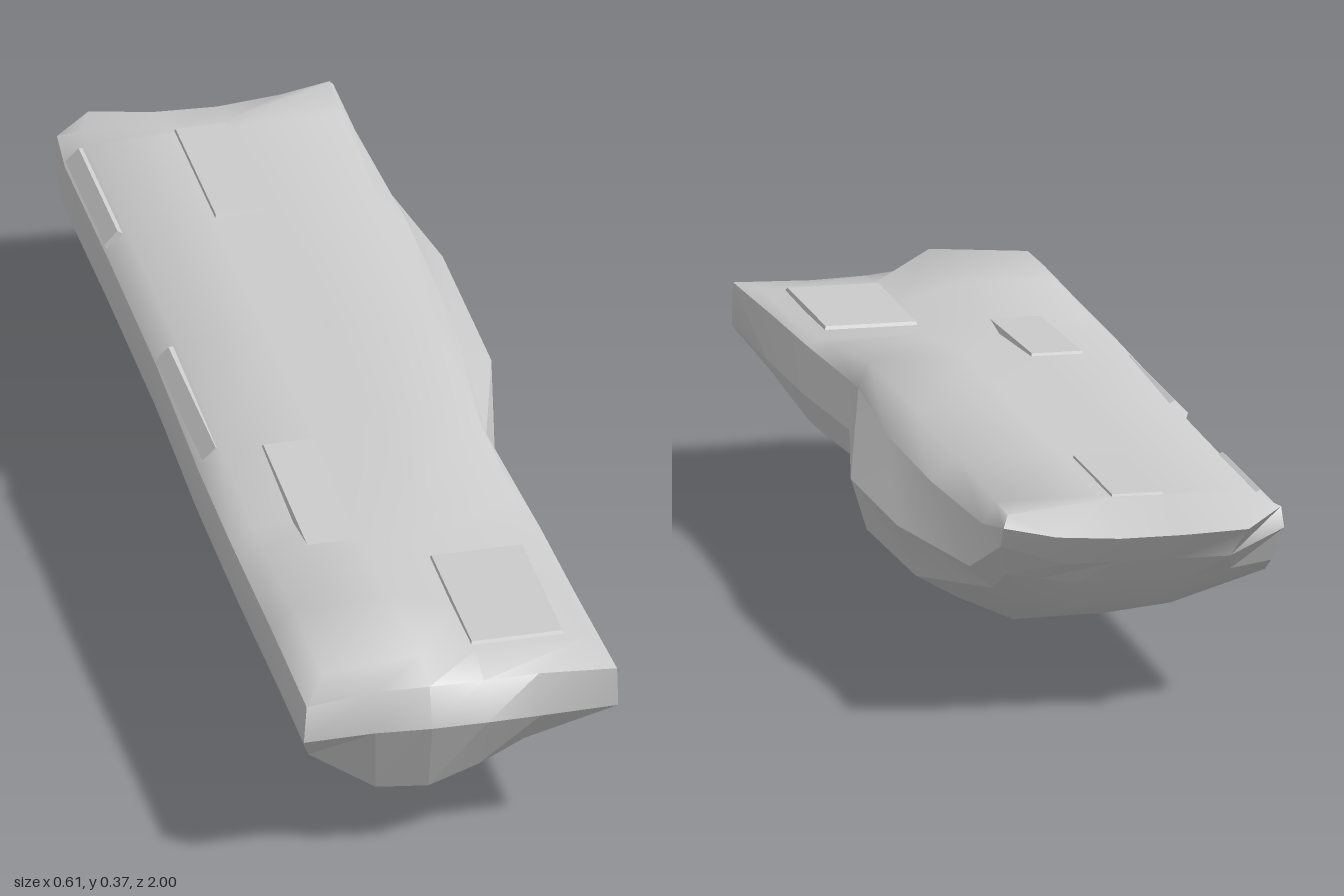
import * as THREE from 'three';
import { toCreasedNormals } from 'three/addons/utils/BufferGeometryUtils.js';

const material = new THREE.MeshStandardMaterial({ color: 0xcccccc, side: THREE.DoubleSide });
const V = (x, y, z) => new THREE.Vector3(x, y, z);
const mix = (a, b, t = 0.5) => a.clone().lerp(b, t);

// Cross-section: 6 top points and 6 underside points from left to right, plus the left and right edges
function section(z, left, right, rimX, topY, dipY, lowR, keelL, keelR, lowLY, hipL, hipR) {
  const L = V(-left, 0.255, z), R = V(right, 0.252, z);
  const top = [
    V(-left + 0.005, 0.325, z), V(-left + 0.043, Math.min(topY, 0.362), z), V(-0.09, topY, z),
    V(0.02, dipY, z), V(rimX, dipY, z), V(rimX + (right - rimX) * 0.4 + 0.005, 0.325, z),
  ];
  const b0 = V(-left + 0.02, lowLY, z), b5 = V(...lowR, z);
  const kl = V(...keelL, z), kr = V(...keelR, z);
  const bottom = [
    b0, hipL ? V(...hipL, z) : mix(b0, kl), kl,
    kr, hipR ? V(...hipR, z) : mix(kr, b5), b5,
  ];
  return { top, R, bottom, L };
}

// Surface through rows of points; each row runs left to right, rows run front to back as seen from above
function sheet(rows, creaseAngle) {
  const pos = [];
  for (let r = 0; r < rows.length - 1; r++) {
    for (let i = 0; i < rows[r].length - 1; i++) {
      const a = rows[r][i], b = rows[r][i + 1], c = rows[r + 1][i + 1], d = rows[r + 1][i];
      [a, b, c, a, c, d].forEach((p) => pos.push(p.x, p.y, p.z));
    }
  }
  const g = new THREE.BufferGeometry();
  g.setAttribute('position', new THREE.Float32BufferAttribute(pos, 3));
  return toCreasedNormals(g, creaseAngle);
}

function mesh(name, geometry) {
  const m = new THREE.Mesh(geometry, material);
  m.name = name;
  return m;
}

function buildSlab() {
  const s = [
    section(0.94, 0.305, 0.245, 0.22, 0.375, 0.335, [0.24, 0.243], [-0.08, 0.121], [0.01, 0.145], 0.2, [-0.17, 0.125], [0.1, 0.16]),
    section(0.72, 0.303, 0.245, 0.215, 0.365, 0.333, [0.238, 0.232], [-0.085, 0.128], [0.05, 0.13], 0.2, [-0.17, 0.142], [0.12, 0.15]),
    section(0.5, 0.303, 0.243, 0.205, 0.353, 0.335, [0.222, 0.195], [-0.085, 0.1], [0.1, 0.098], 0.2),
    section(0.42, 0.303, 0.24, 0.2, 0.347, 0.343, [0.215, 0.19], [-0.085, 0.1], [0.1, 0.098], 0.2),
    section(0.18, 0.3, 0.225, 0.19, 0.362, 0.37, [0.2, 0.19], [-0.09, 0.1], [0.08, 0.098], 0.2),
    section(-0.17, 0.288, 0.303, 0.19, 0.362, 0.365, [0.275, 0.162], [-0.08, 0.002], [0.008, 0.002], 0.2, [-0.155, 0.12], [0.09, 0.085]),
    section(-0.52, 0.285, 0.303, 0.195, 0.362, 0.364, [0.27, 0.162], [-0.06, 0.08], [0.1, 0.077], 0.205, [-0.17, 0.15], [0.2, 0.122]),
    section(-0.84, 0.285, 0.25, 0.205, 0.362, 0.363, [0.21, 0.212], [-0.1, 0.17], [0.08, 0.17], 0.22),
    section(-0.9, 0.282, 0.225, 0.208, 0.362, 0.364, [0.2, 0.25], [-0.12, 0.228], [0.08, 0.228], 0.25),
  ];
  // Pull the front shoulders out and the front hollow in
  const front = s[0], back = s[s.length - 1];
  [front.L, front.R, front.top[0], front.top[5]].forEach((p) => { p.z = 0.98; });
  front.top[5].x = 0.243;
  front.top[3].z = front.top[4].z = 0.88;
  front.bottom.forEach((p, i) => { p.z = [0.93, 0.94, 0.95, 0.94, 0.9, 0.96][i]; });
  // Shape the undercut tail
  back.L.set(-0.28, 0.31, -0.92);
  back.R.set(0.222, 0.31, -0.95);
  back.top[0].y = back.top[5].y = 0.345;
  back.top.forEach((p, i) => { p.z = [-0.91, -0.89, -0.86, -0.87, -0.945, -0.965][i]; });

  // Rounded lips at both ends, above facets that lean inward
  const xs = [-0.18, -0.085, 0.012, 0.11];
  const lip = xs.map((x, i) => V(x, [0.332, 0.335, 0.327, 0.325][i], [0.97, 0.98, 0.97, 0.965][i]));
  const brow = xs.map((x, i) => V(x, [0.256, 0.263, 0.262, 0.25][i], [0.98, 1, 1, 0.98][i]));
  const tailLip = [-0.2, -0.09, 0.02, 0.13].map((x, i) => V(x, [0.33, 0.322, 0.32, 0.328][i], [-1, -0.985, -0.98, -0.98][i]));
  const tailBrow = xs.map((x) => V(x, 0.272, -0.945));
  const frontBrow = [front.L, ...brow, front.R];
  const backBrow = [back.L, ...tailBrow, back.R];
  const frontLip = [front.top[0], ...lip, front.top[5]];
  const backLip = [back.top[0], ...tailLip, back.top[5]];

  return [
    mesh('topSurface', sheet([frontBrow, frontLip, ...s.map((q) => q.top), backLip, backBrow], 1.2)),
    mesh('leftSide', sheet(s.map((q) => [q.bottom[0], q.L, q.top[0]]), 0.45)),
    mesh('rightSide', sheet(s.map((q) => [q.top[5], q.R, q.bottom[5]]), 0.45)),
    mesh('underside', sheet(s.map((q) => q.bottom).reverse(), 0.6)),
    mesh('frontFacets', sheet([front.bottom, frontBrow], 0.1)),
    mesh('backFacets', sheet([backBrow, back.bottom], 0.1)),
  ];
}

// Thin plate with chamfered upper edges
function plate(name, x, y, z, w, h, d, rx = 0, rz = 0) {
  const g = new THREE.BoxGeometry(w, h, d).toNonIndexed();
  const p = g.attributes.position;
  for (let i = 0; i < p.count; i++) {
    if (p.getY(i) > 0) {
      p.setX(i, p.getX(i) - Math.sign(p.getX(i)) * 0.006);
      p.setZ(i, p.getZ(i) - Math.sign(p.getZ(i)) * 0.01);
    }
  }
  g.computeVertexNormals();
  const m = mesh(name, g);
  m.position.set(x, y, z);
  m.rotation.set(rx, 0, rz);
  return m;
}

export function createModel() {
  const group = new THREE.Group();
  group.name = 'rockPlatform';
  group.add(...buildSlab());
  // Chipped stone plates on the top and along the left shoulder
  group.add(
    plate('backPlate', -0.04, 0.358, -0.705, 0.1, 0.018, 0.31),
    plate('middlePlate', -0.14, 0.35, 0.365, 0.1, 0.018, 0.37, 0.04),
    plate('frontPlate', 0.097, 0.333, 0.715, 0.17, 0.014, 0.31),
    plate('backEdgePlate', -0.262, 0.342, -0.7, 0.045, 0.016, 0.3, 0, 0.8),
    plate('middleEdgePlate', -0.268, 0.342, 0, 0.045, 0.016, 0.36, 0, 0.8),
  );
  return group;
}
